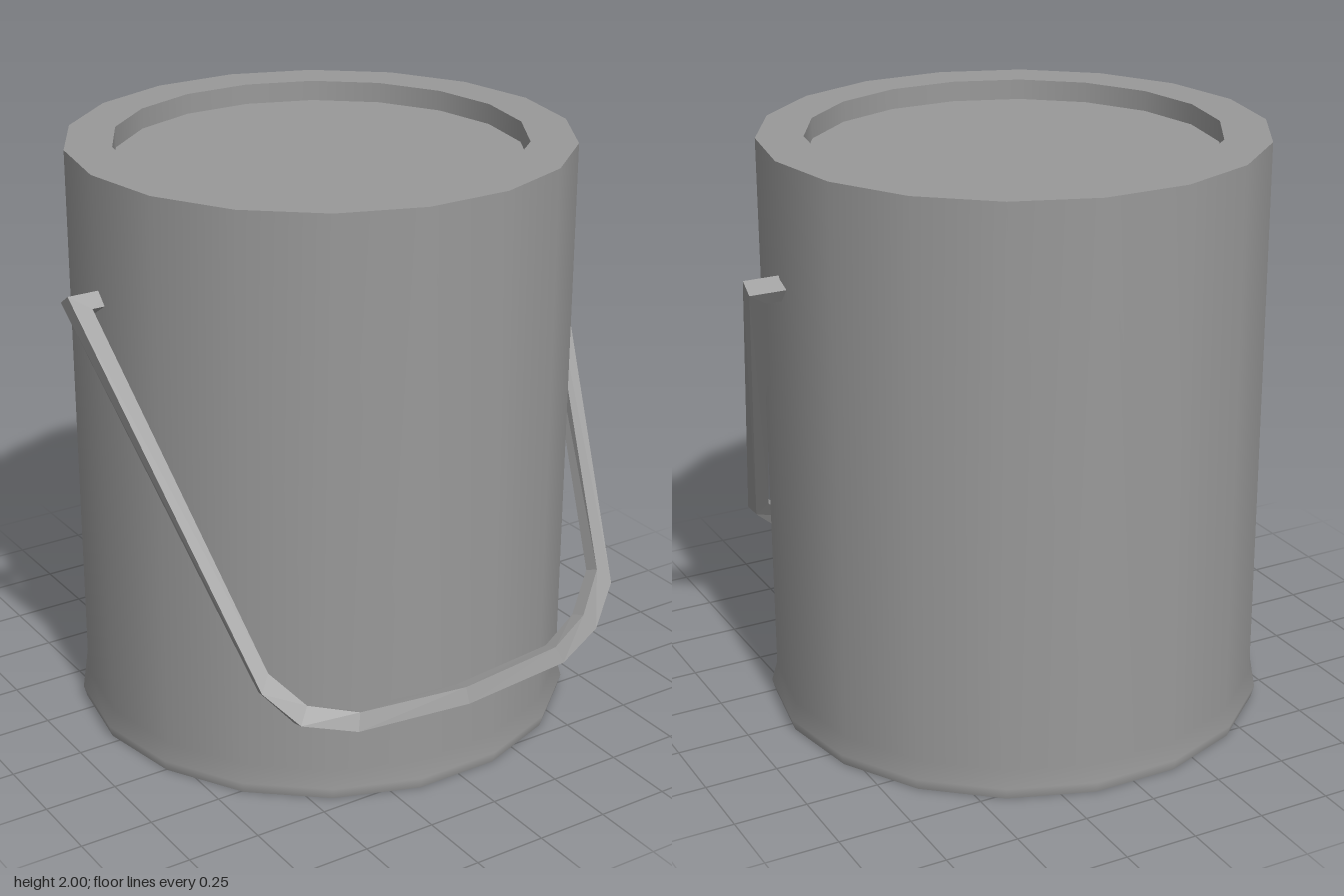
import * as THREE from 'three';

const material = new THREE.MeshStandardMaterial({ color: 0x999999 });
const SIDES = 18;

function addMesh(parent, name, geometry) {
  const mesh = new THREE.Mesh(geometry, material);
  mesh.name = name;
  parent.add(mesh);
}

// Each surface is turned separately so the rims between them stay sharp.
function turned(profile) {
  const points = profile.map(([r, y]) => new THREE.Vector2(r, y));
  return new THREE.LatheGeometry(points, SIDES, Math.PI / SIDES);
}

function createCan() {
  const can = new THREE.Group();
  can.name = 'can';
  const r = 0.841, inner = 0.685, top = 2, lid = 1.93;
  addMesh(can, 'bottom', turned([[0, 0], [0.85, 0]]));
  // Wall with a small bead around the foot
  addMesh(can, 'wall', turned([[0.85, 0], [0.861, 0.04], [r, 0.1], [r, top]]));
  addMesh(can, 'rim', turned([[r, top], [inner, top]]));
  addMesh(can, 'recessWall', turned([[inner, top], [inner, lid]]));
  addMesh(can, 'lid', turned([[inner, lid], [0, lid]]));
  can.position.set(-0.007, 0, -0.038);
  return can;
}

// Square bar swept from the left pivot stub, down and around to the right one.
function createHandle() {
  // Sections: sideways shift, then front outer, front inner, back inner and
  // back outer corners. The bar twists slightly towards the bottom.
  const half = [
    [0, [0.8, 1.625, -0.025], [0.8, 1.58, 0.005], [0.8, 1.545, -0.045], [0.8, 1.59, -0.075]],
    [0, [0.953, 1.625, -0.025], [0.883, 1.58, 0.005], [0.883, 1.545, -0.045], [0.953, 1.59, -0.075]],
    [-0.018, [0.698, 0.495, 0.73], [0.657, 0.543, 0.7], [0.648, 0.525, 0.655], [0.685, 0.478, 0.685]],
    [-0.03, [0.59, 0.387, 0.805], [0.552, 0.437, 0.78], [0.545, 0.42, 0.73], [0.58, 0.367, 0.75]],
    [-0.03, [0.41, 0.336, 0.86], [0.39, 0.39, 0.838], [0.39, 0.372, 0.785], [0.41, 0.319, 0.805]],
  ];
  const lowest = [-0.03, [0, 0.323, 0.89], [0, 0.375, 0.87], [0, 0.358, 0.815], [0, 0.306, 0.833]];
  const place = (side) => ([shift, ...corners]) =>
    corners.map(([x, y, z]) => [side * x + shift, y, z]);
  const rings = [...half.map(place(1)), place(1)(lowest), ...half.map(place(-1)).reverse()];

  const positions = [];
  for (let i = 0; i < rings.length - 1; i++) {
    const a = rings[i], b = rings[i + 1];
    for (let j = 0; j < 4; j++) {
      const k = (j + 1) % 4;
      positions.push(...a[j], ...a[k], ...b[j], ...a[k], ...b[k], ...b[j]);
    }
  }
  const geometry = new THREE.BufferGeometry();
  geometry.setAttribute('position', new THREE.Float32BufferAttribute(positions, 3));
  geometry.computeVertexNormals();
  return geometry;
}

export function createModel() {
  const model = new THREE.Group();
  model.name = 'paintCan';
  model.add(createCan());
  addMesh(model, 'handle', createHandle());
  return model;
}
